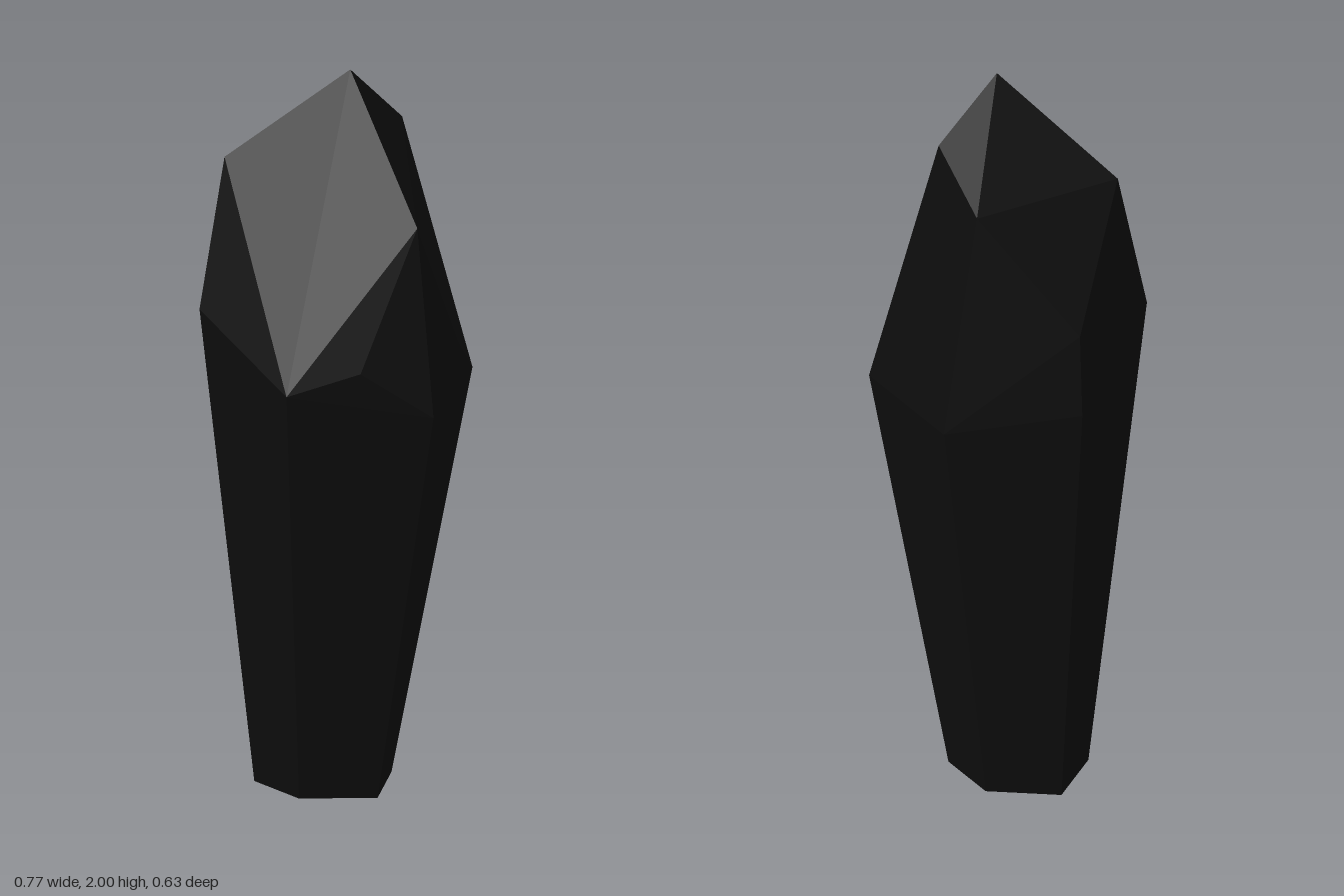
import * as THREE from 'three';
import { ConvexGeometry } from 'three/addons/geometries/ConvexGeometry.js';

// A faceted crystal shard: narrow six-sided foot, wide girdle, cut crown.
export function createModel() {
  const group = new THREE.Group();
  group.name = 'crystal';

  const obsidian = new THREE.MeshStandardMaterial({ color: 0x0d0d0d, flatShading: true });
  obsidian.name = 'obsidian black';

  // foot
  const foot = [
    [0.16, 0, 0], [0.03, 0, 0.16], [-0.15, 0, 0.16],
    [-0.28, 0, 0], [-0.16, 0, -0.16], [0.03, 0, -0.16],
  ];
  // girdle
  const girdle = [
    [0.385, 1.12, 0], [0.16, 1.19, 0.315], [-0.19, 1.34, 0.315],
    [-0.387, 1.18, 0], [-0.21, 1.13, -0.317], [0.173, 1.13, -0.317],
  ];
  // small facet on the left side
  const sideFacet = [[0.278, 1.25, 0.16], [0.292, 1.26, -0.17], [0.32, 1.63, 0]];
  // crown and tip
  const crown = [
    [-0.375, 1.41, 0], [-0.2, 1.74, 0.22], [-0.2, 1.74, -0.21],
    [0.055, 1.83, -0.175], [0.05, 2, 0],
  ];

  const points = [...foot, ...girdle, ...sideFacet, ...crown].map((p) => new THREE.Vector3(...p));
  const shard = new THREE.Mesh(new ConvexGeometry(points), obsidian);
  shard.name = 'crystalShard';
  group.add(shard);
  return group;
}
